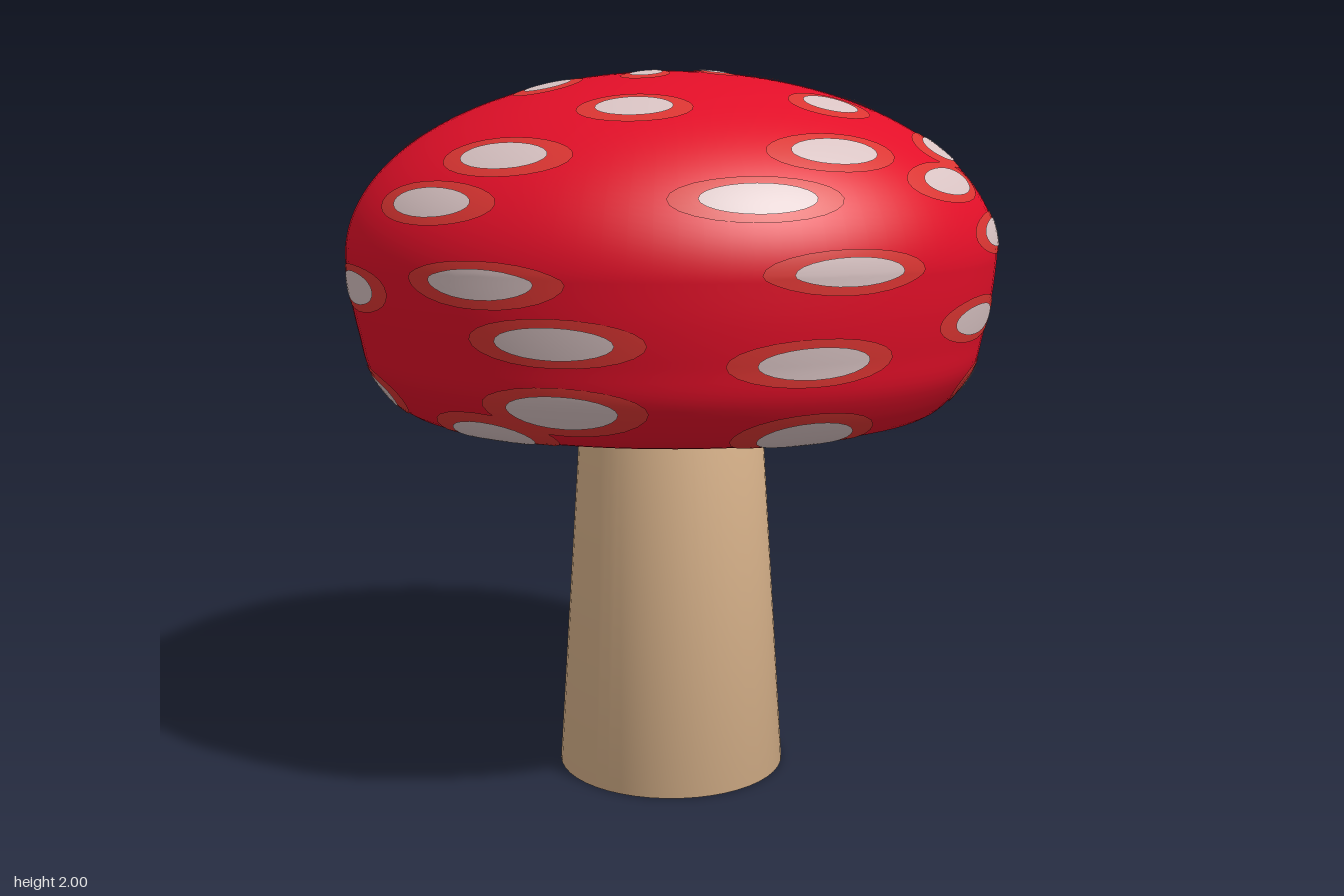
import * as THREE from 'three';
import { mergeGeometries } from 'three/addons/utils/BufferGeometryUtils.js';

const HALF = Math.PI / 2, RAD = 0.905, MID = 1.5, RISE = 0.5, RIM = 1.08;

// lower cap profile: side wall, rolled rim, then the hollow underside
const lower = new THREE.SplineCurve([
  [RAD, 1.5], [0.895, 1.395], [0.875, 1.29], [0.845, 1.185], [0.75, RIM],
  [0.64, 1.095], [0.46, 1.15], [0.24, 1.205], [0, 1.22],
].map(([r, y]) => new THREE.Vector2(r, y)));

// cap profile point: phi runs from the crown (0) over the rim to the underside (PI)
function profile(phi) {
  if (phi <= HALF) return new THREE.Vector2(RAD * Math.sin(phi), MID + RISE * Math.cos(phi));
  return lower.getPoint(Math.min(1, (phi - HALF) / HALF));
}

const phiAtHeight = (y) => y >= MID ? Math.acos((y - MID) / RISE)
  : HALF + ((MID - y) / (MID - RIM)) * (Math.PI / 4);
const phiAtRadius = (r) => Math.asin(r / RAD);

// oval patch that hugs the cap, raised by lift
function patch(deg, phi0, halfWidth, halfHeight, lift) {
  const geo = new THREE.RingGeometry(0, 1, 24, 4);
  const pos = geo.attributes.position, nor = geo.attributes.normal;
  for (let i = 0; i < pos.count; i++) {
    const theta = THREE.MathUtils.degToRad(deg) + pos.getX(i) * halfWidth;
    const phi = phi0 - pos.getY(i) * halfHeight;
    const p = profile(phi);
    const d = profile(phi + 0.01).sub(profile(phi - 0.01)).normalize();
    const nr = -d.y, ny = d.x, s = Math.sin(theta), c = Math.cos(theta);
    const r = p.x + nr * lift;
    pos.setXYZ(i, r * s, p.y + ny * lift, r * c);
    nor.setXYZ(i, nr * s, ny, nr * c);
  }
  return geo;
}

// spots on the crown: [angle, radius, scale]
const crownSpots = [
  [148, 0.25, 0.8], [87, 0.24], [43, 0.2, 0.8], [-5, 0.24], [-70, 0.28, 0.6], [-163, 0.31],
  [-118, 0.36], [-44, 0.4], [-157, 0.48], [163, 0.49], [-103, 0.5], [97, 0.51], [58, 0.55],
  [1, 0.57], [176, 0.67], [-142, 0.67], [-80, 0.71], [-134, 0.81],
];
// spots on the sides: [angle, height]
const sideSpots = [
  [-22, 1.77], [42, 1.78], [83, 1.785], [128, 1.775], [-33, 1.66], [24, 1.675], [69, 1.705],
  [122, 1.705], [-176, 1.71], [-88, 1.64], [127, 1.6], [84, 1.57], [-147, 1.57], [174, 1.57],
  [107, 1.54], [38, 1.505], [-20, 1.475], [-56, 1.43], [-167, 1.455], [179, 1.43], [109, 1.4],
  [-107, 1.4], [-8, 1.345], [73, 1.357], [140, 1.33], [33, 1.295], [-139, 1.315], [-93, 1.29],
  [-8, 1.18], [88, 1.175], [131, 1.18], [-62, 1.155], [-134, 1.22], [-176, 1.22],
  [-25, 1.1], [35, 1.11], [165, 1.11], [-100, 1.11],
];

export function createModel() {
  const red = new THREE.MeshStandardMaterial({ color: 0xe20f28 });
  red.name = 'cap red';
  const halo = new THREE.MeshStandardMaterial({ color: 0xdb3532 });
  halo.name = 'spot border red';
  const pale = new THREE.MeshStandardMaterial({ color: 0xd9c3c3 });
  pale.name = 'spot pale pink';
  const tan = new THREE.MeshStandardMaterial({ color: 0xdfb88f });
  tan.name = 'stem tan';

  const group = new THREE.Group();
  group.name = 'mushroom';
  const add = (name, geo, material) => {
    const mesh = new THREE.Mesh(geo, material);
    mesh.name = name;
    group.add(mesh);
  };

  // stem, widening to the foot
  const stem = [[0, 0], [0.33, 0], [0.26, RIM], [0.25, 1.24], [0, 1.24]];
  add('stem', new THREE.LatheGeometry(stem.map(([r, y]) => new THREE.Vector2(r, y)), 48), tan);

  // cap, from the underside up to the crown
  const outline = [];
  for (let i = 96; i >= 0; i--) outline.push(profile((i / 96) * Math.PI));
  add('cap', new THREE.LatheGeometry(outline, 96), red);

  // all spots as [angle, phi, scale]
  const spots = [
    ...crownSpots.map(([a, r, s = 1]) => [a, phiAtRadius(r), s]),
    ...sideSpots.map(([a, y]) => [a, phiAtHeight(y), 1]),
  ];
  // rings of spots under the cap
  for (const [count, phi, turn] of [[8, 2.5, 10], [9, 2.72, 30]]) {
    for (let i = 0; i < count; i++) {
      spots.push([turn + (i * 360) / count + 9 * Math.sin(i * 2.3), phi + 0.06 * Math.sin(i * 4.1), 0.9]);
    }
  }
  const layer = (size, lift) => mergeGeometries(
    spots.map(([a, phi, s]) => patch(a, phi, 0.17 * s * size, 0.074 * s * size, lift)));
  add('spotBorders', layer(1.5, 0.003), halo);
  add('spots', layer(1, 0.006), pale);

  return group;
}
